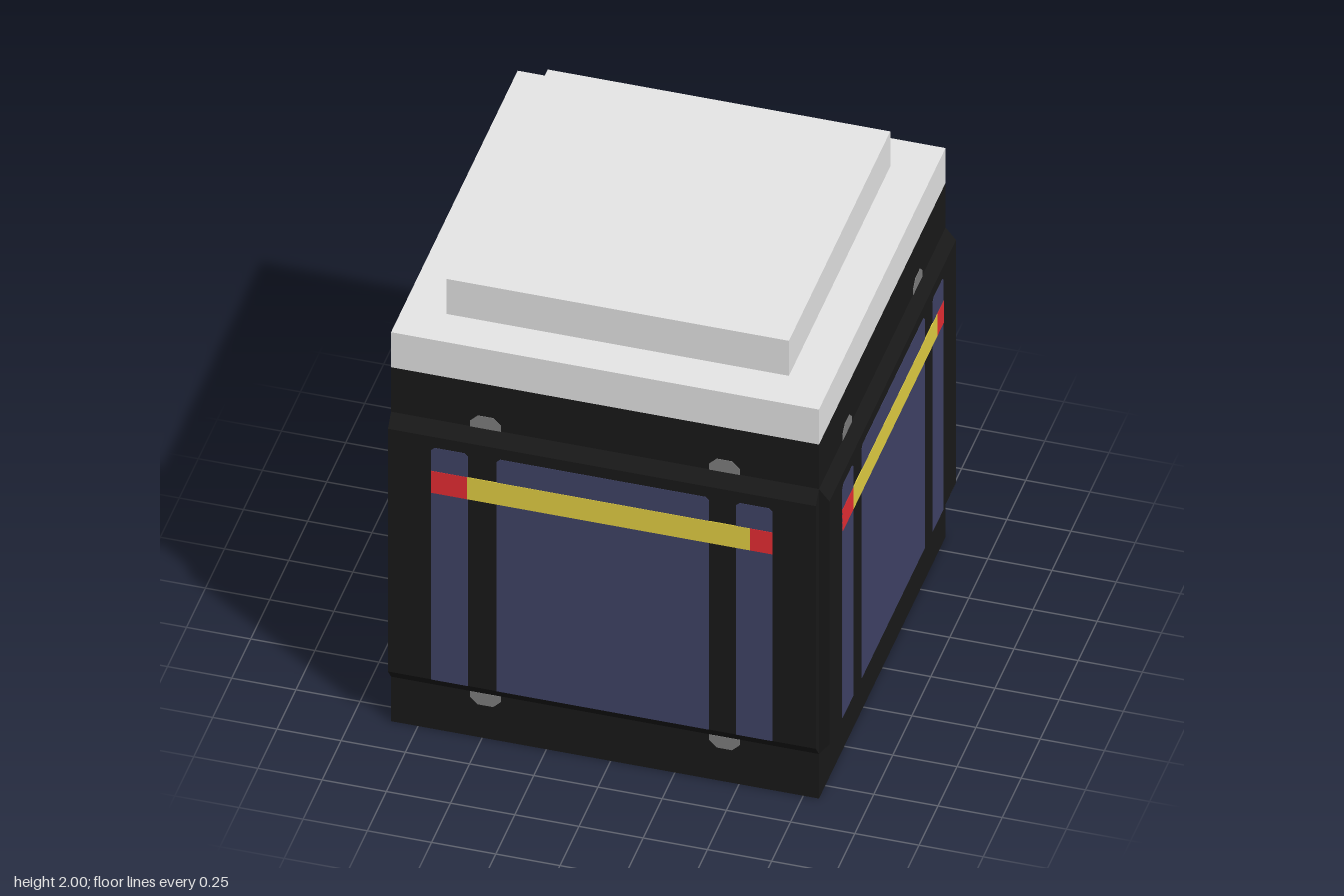
import * as THREE from 'three';

const mat = (name, color) => {
  const m = new THREE.MeshStandardMaterial({ color });
  m.name = name;
  return m;
};

export function createModel() {
  const black = mat('black frame', 0x191919);
  const roofGrey = mat('light grey roof', 0xe6e6e6);
  const blue = mat('blue glass', 0x404367);
  const red = mat('red', 0xe82d34);
  const yellow = mat('yellow', 0xe4d043);
  const grey = mat('mid grey', 0x7e7e7e);

  // wall height, half width, bulge of the panel, sheet and post thickness, plate thickness
  const H = 1.67, R = 0.833, BULGE = 0.041, SKIN = 0.01, POST = 0.083, T = 0.004;
  const model = new THREE.Group();
  model.name = 'openBooth';

  const add = (parent, name, geo, material, z = 0) => {
    const mesh = new THREE.Mesh(geo, material);
    mesh.name = name;
    mesh.position.z = z;
    parent.add(mesh);
  };
  // box given by its limits
  const box = (parent, name, material, x0, x1, y0, y1, z0, z1) =>
    add(parent, name, new THREE.BoxGeometry(x1 - x0, y1 - y0, z1 - z0)
      .translate((x0 + x1) / 2, (y0 + y1) / 2, (z0 + z1) / 2), material);
  // thin plate with cut top and bottom corners
  const plate = (parent, name, material, x0, x1, y0, y1, z, c, b = 0) => {
    const s = new THREE.Shape([
      [x0 + b, y0], [x1 - b, y0], [x1, y0 + b], [x1, y1 - c],
      [x1 - c, y1], [x0 + c, y1], [x0, y1 - c], [x0, y0 + b],
    ].map(p => new THREE.Vector2(...p)));
    add(parent, name, new THREE.ExtrudeGeometry(s, { depth: T, bevelEnabled: false }), material, z);
  };

  // wall profile: the middle stands out, with a slope below and above
  const KNOTS = [[0.21, 0], [0.265, BULGE], [1.41, BULGE], [1.46, 0]];
  const bulgeAt = y => {
    if (y <= 0.21 || y >= 1.46) return 0;
    return BULGE * Math.min(1, (y - 0.21) / 0.055, (1.46 - y) / 0.05);
  };
  // slab between depths d0 and d1 that follows the wall profile
  const follow = (parent, name, material, x0, x1, y0, y1, d0, d1) => {
    const line = [[y0, bulgeAt(y0)], ...KNOTS.filter(k => k[0] > y0 && k[0] < y1), [y1, bulgeAt(y1)]];
    const outer = line.map(([y, o]) => new THREE.Vector2(R + o + d1, y));
    const inner = line.map(([y, o]) => new THREE.Vector2(R + o + d0, y)).reverse();
    const geo = new THREE.ExtrudeGeometry(new THREE.Shape([...outer, ...inner]),
      { depth: x1 - x0, bevelEnabled: false });
    add(parent, name, geo.rotateY(-Math.PI / 2).translate(x1, 0, 0), material);
  };

  // windows, tape and clips on one side of a wall; z is the sheet surface, s the way it faces
  function decorate(wall, z, s, side) {
    const at = lift => z + s * lift - T / 2;
    const zWindow = at(-0.0005) + BULGE, zTape = at(0.001) + BULGE;
    for (const [x0, x1] of [[-0.665, -0.522], [-0.41, 0.417], [0.522, 0.665]])
      plate(wall, side + 'Window', blue, x0, x1, 0.265, 1.36, zWindow, 0.014);
    for (const [name, m, x0, x1] of [['TapeEnd', red, -0.665, -0.525], ['Tape', yellow, -0.525, 0.578],
      ['TapeEnd', red, 0.578, 0.665]])
      box(wall, side + name, m, x0, x1, 1.147, 1.25, zTape, zTape + T);
    for (const x of [-0.465, 0.465]) {
      plate(wall, side + 'UpperClip', grey, x - 0.06, x + 0.06, 1.46, 1.517, at(0), 0.03);
      plate(wall, side + 'LowerClip', grey, x - 0.06, x + 0.06, 0.155, 0.21, at(0), 0, 0.03);
    }
  }

  // thick post on the inside of one end of a wall; s is the end
  function addPost(wall, s) {
    const xi = 0.667, w = R - xi;
    const post = new THREE.Group();
    post.name = s < 0 ? 'rightPost' : 'leftPost';
    wall.add(post);
    // piece from a to b of the post's width, measured from the window side
    const piece = (name, m, y0, y1, a, b, d0, d1) => {
      const p = s * (xi + w * a), q = s * (xi + w * b);
      follow(post, name, m, Math.min(p, q), Math.max(p, q), y0, y1, d0, d1);
    };
    piece('postCore', black, T, H, 0.03, 1, -POST, 0);
    piece('postSide', blue, T, H, 0, 0.03, -POST, -SKIN);
    piece('postSole', grey, 0, T, 0.1, 0.6, -POST, -SKIN);
    // markings across the inner face
    const band = (name, m, y0, y1, a = 0, b = 0.98) => piece(name, m, y0, y1, a, b, -POST - T, -POST);
    band('foot', grey, T, 0.21, 0, 0.5);
    band('foot', grey, 0.12, 0.21, 0.5);
    band('postPanel', grey, 0.36, 0.97);
    band('postPanel', grey, 1.01, 1.08);
    band('postMark', red, 1.41, 1.46);
    band('postCap', grey, 1.48, 1.6, 0, 0.2);
    band('postCap', grey, 1.48, 1.6, 0.5);
    for (const [y0, y1] of [[0.21, 0.28], [1.17, 1.27]]) {
      band('postTapeEnd', red, y0, y1, 0, 0.33);
      band('postTape', yellow, y0, y1, 0.33, 0.67);
      band('postTapeEnd', red, y0, y1, 0.67);
    }
  }

  function makeWall(name, angle) {
    const wall = new THREE.Group();
    wall.name = name;
    follow(wall, 'wallSheet', black, -R, R, 0, H, -SKIN, 0);
    decorate(wall, R, 1, 'outer');
    decorate(wall, R - SKIN, -1, 'inner');
    addPost(wall, -1);
    addPost(wall, 1);
    wall.rotation.y = angle;
    return wall;
  }

  // three walls; the -x side stays open
  const body = new THREE.Group();
  body.name = 'body';
  body.position.x = -0.022;
  body.add(makeWall('frontWall', 0), makeWall('leftWall', Math.PI / 2), makeWall('backWall', Math.PI));

  // stepped roof
  box(body, 'roofSlab', roofGrey, -R, R, H, 1.835, -R, R);
  box(body, 'roofTop', roofGrey, -0.667, 0.667, 1.835, 2, -0.667, 0.667);
  model.add(body);
  return model;
}
